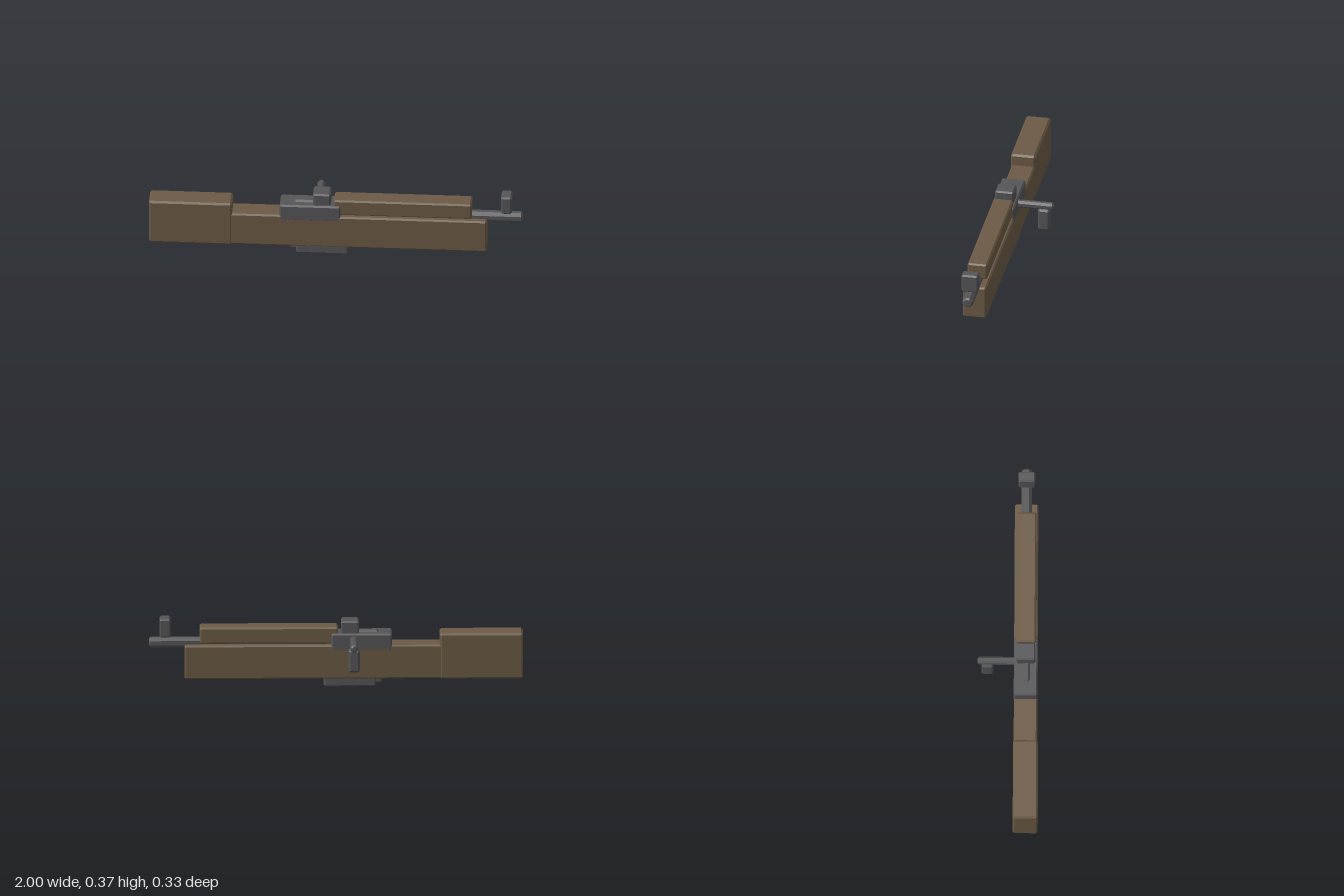
import * as THREE from 'three';
import { ConvexGeometry } from 'three/addons/geometries/ConvexGeometry.js';

const wood = new THREE.MeshStandardMaterial({ color: 0x6b5a45, flatShading: true });
const metal = new THREE.MeshStandardMaterial({ color: 0x555558, flatShading: true });

// Box between min and max limits, with every edge and corner chamfered
function chamferedBox(name, material, [x0, x1], [y0, y1], [z0, z1], c = 0.008) {
  const hx = (x1 - x0) / 2, hy = (y1 - y0) / 2, hz = (z1 - z0) / 2;
  const points = [];
  for (const sx of [-1, 1]) for (const sy of [-1, 1]) for (const sz of [-1, 1]) {
    points.push(
      new THREE.Vector3(sx * hx, sy * (hy - c), sz * (hz - c)),
      new THREE.Vector3(sx * (hx - c), sy * hy, sz * (hz - c)),
      new THREE.Vector3(sx * (hx - c), sy * (hy - c), sz * hz));
  }
  const mesh = new THREE.Mesh(new ConvexGeometry(points), material);
  mesh.position.set((x0 + x1) / 2, (y0 + y1) / 2, (z0 + z1) / 2);
  mesh.name = name;
  return mesh;
}

// Eight-sided rod between two points, with chamfered ends
function rod(name, radius, start, end, c = 0.009) {
  const a = new THREE.Vector3(...start), b = new THREE.Vector3(...end);
  const h = a.distanceTo(b) / 2;
  const profile = [[0, -h], [radius - c, -h], [radius, -h + c], [radius, h - c], [radius - c, h], [0, h]]
    .map(([x, y]) => new THREE.Vector2(x, y));
  const mesh = new THREE.Mesh(new THREE.LatheGeometry(profile, 8, Math.PI / 8), metal);
  mesh.position.copy(a).add(b).multiplyScalar(0.5);
  mesh.quaternion.setFromUnitVectors(new THREE.Vector3(0, 1, 0), b.clone().sub(a).normalize());
  mesh.name = name;
  return mesh;
}

export function createModel() {
  const model = new THREE.Group();
  model.name = 'rifle';
  model.add(
    // Wooden furniture
    chamferedBox('buttStock', wood, [-1, -0.555], [0.042, 0.293], [0.029, 0.163], 0.01),
    chamferedBox('foreStock', wood, [-0.83, 0.81], [0.045, 0.23], [0.032, 0.158]),
    chamferedBox('handguard', wood, [-0.01, 0.728], [0.237, 0.326], [0.042, 0.149]),
    // Receiver and barrel
    chamferedBox('receiver', metal, [-0.3, 0.026], [0.2, 0.293], [0.031, 0.159]),
    rod('barrel', 0.03, [0, 0.236, 0.096], [1, 0.236, 0.096]),
    // Sights
    chamferedBox('rearSight', metal, [-0.122, -0.027], [0.28, 0.358], [0.045, 0.146]),
    chamferedBox('frontSight', metal, [0.885, 0.943], [0.271, 0.372], [0.05, 0.141]),
    // Bolt with its side handle
    rod('bolt', 0.028, [-0.227, 0.277, 0.096], [-0.03, 0.277, 0.096]),
    rod('boltHandle', 0.0215, [-0.095, 0.26, 0.1], [-0.095, 0.26, -0.163]),
    chamferedBox('boltKnob', metal, [-0.125, -0.065], [0.123, 0.247], [-0.143, -0.078], 0.01),
    // Underside
    chamferedBox('magazine', metal, [-0.212, 0.066], [0, 0.06], [0.039, 0.153]),
    chamferedBox('trigger', metal, [-0.247, -0.2], [0.012, 0.06], [0.071, 0.121]));
  return model;
}
